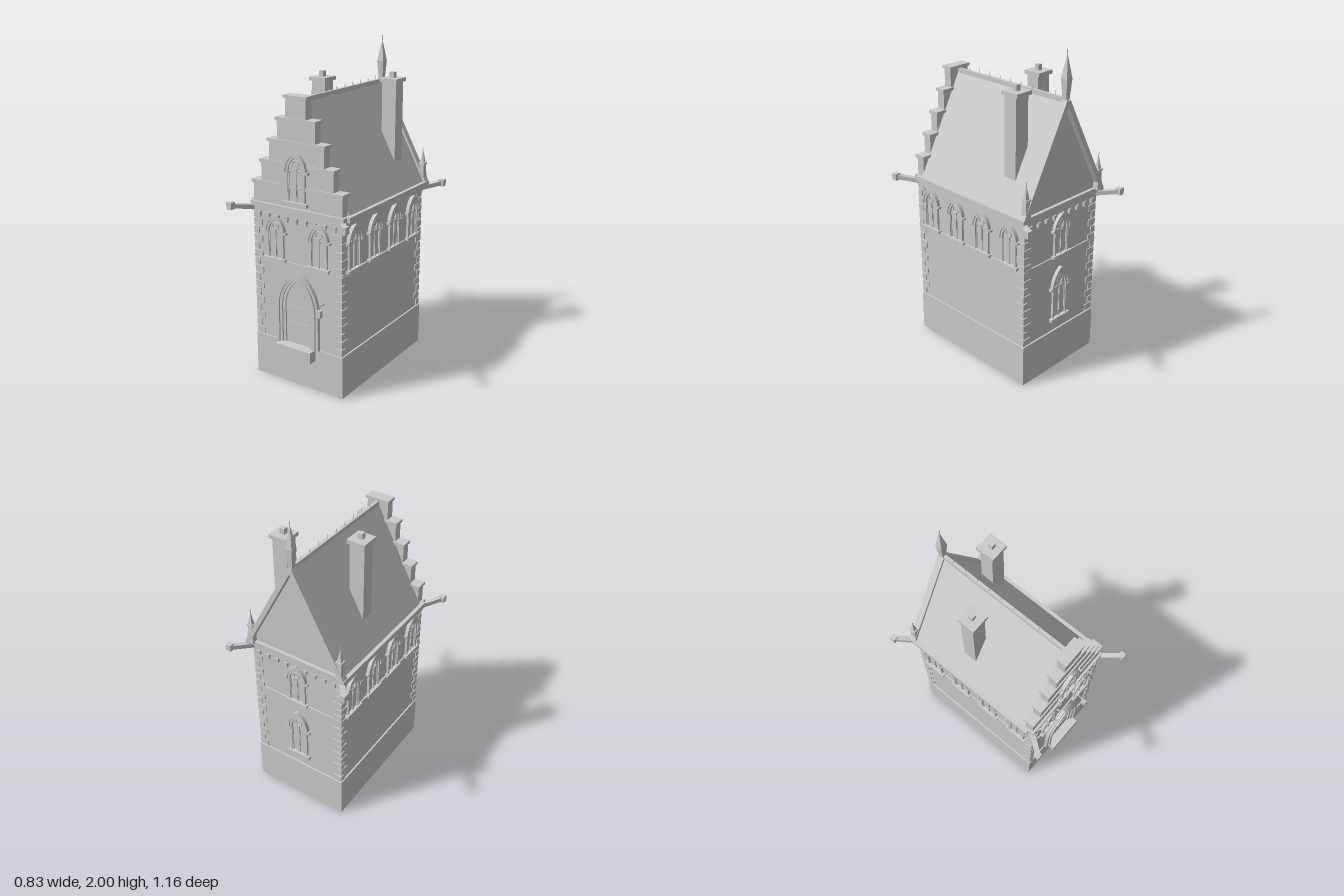
import * as THREE from 'three';

const mat = new THREE.MeshStandardMaterial({ color: 0xcccccc, flatShading: true });
const openMat = new THREE.MeshStandardMaterial({ color: 0xcccccc, flatShading: true, side: THREE.DoubleSide });

function add(parent, name, geo, x = 0, y = 0, z = 0, material = mat) {
  const m = new THREE.Mesh(geo, material);
  m.name = name;
  m.position.set(x, y, z);
  parent.add(m);
  return m;
}

// Box given by its limits on each axis
function block(parent, name, x0, x1, y0, y1, z0, z1) {
  return add(parent, name, new THREE.BoxGeometry(x1 - x0, y1 - y0, z1 - z0),
    (x0 + x1) / 2, (y0 + y1) / 2, (z0 + z1) / 2);
}

// Bar running between two points
function beam(parent, name, a, b, w, h) {
  const p = new THREE.Vector3(...a), q = new THREE.Vector3(...b);
  const m = add(parent, name, new THREE.BoxGeometry(w, h, p.distanceTo(q)), ...p.clone().lerp(q, 0.5));
  m.lookAt(q);
  return m;
}

// Pointed arch outline from the right foot over the apex to the left foot
function archPoints(w, rise, bottom, spring, n = 8) {
  const R = (w * w + rise * rise) / (2 * w), end = Math.atan2(rise, R - w);
  const right = [];
  for (let i = 0; i <= n; i++) {
    const t = end * i / n;
    right.push(new THREE.Vector2(w - R + R * Math.cos(t), spring + R * Math.sin(t)));
  }
  const left = right.slice(0, -1).reverse().map(p => new THREE.Vector2(-p.x, p.y));
  const pts = [...right, ...left];
  if (bottom < spring) {
    pts.unshift(new THREE.Vector2(w, bottom));
    pts.push(new THREE.Vector2(-w, bottom));
  }
  return pts;
}

const extrude = (pts, depth) => new THREE.ExtrudeGeometry(new THREE.Shape(pts), { depth, bevelEnabled: false });

// Arched band, open at the foot
function archBand(wOut, riseOut, wIn, riseIn, bottom, spring, depth) {
  return extrude([...archPoints(wOut, riseOut, bottom, spring),
    ...archPoints(wIn, riseIn, bottom, spring).reverse()], depth);
}

// Two-light window with oculus, hood mould and sill; its foot is at y = 0, facing +z
function makeWindow(name) {
  const g = new THREE.Group();
  g.name = name;
  block(g, 'sill', -0.075, 0.075, 0, 0.018, -0.005, 0.024);
  add(g, 'jambAndArch', archBand(0.06, 0.096, 0.047, 0.08, 0.018, 0.17, 0.014));
  add(g, 'hoodMould', archBand(0.073, 0.112, 0.06, 0.096, 0.17, 0.17, 0.022));
  add(g, 'glass', extrude(archPoints(0.048, 0.081, 0.018, 0.17), 0.002));
  block(g, 'mullion', -0.004, 0.004, 0.018, 0.19, 0, 0.01);
  for (const s of [-1, 1]) {
    block(g, 'hoodStop', s * 0.071 - 0.012, s * 0.071 + 0.012, 0.17, 0.184, 0, 0.022);
    add(g, 'lightHead', archBand(0.023, 0.03, 0.018, 0.024, 0.018, 0.155, 0.008), s * 0.024);
  }
  add(g, 'oculus', new THREE.TorusGeometry(0.021, 0.004, 6, 16), 0, 0.212, 0.006);
  return g;
}

// Square pinnacle with pyramid top and needle
function makePinnacle(name, x, y, z, [h0, h1, h2, h3], r0, r1) {
  const g = new THREE.Group();
  g.name = name;
  g.position.set(x, y, z);
  const q = Math.SQRT2;
  const stage = (part, top, bottom, ya, yb) => add(g, part,
    new THREE.CylinderGeometry(top * q, bottom * q, yb - ya, 4).rotateY(Math.PI / 4), 0, (ya + yb) / 2, 0);
  stage('shaft', r1, r0, h0, h1);
  stage('spire', 0.003, r1, h1, h2);
  stage('needle', 0.002, 0.002, h2 - 0.01, h3);
  return g;
}

export function createModel() {
  const model = new THREE.Group();
  model.name = 'steppedGableHouse';

  // Plinth, open underneath
  const plinth = new THREE.BoxGeometry(0.63, 0.265, 0.915);
  const idx = Array.from(plinth.index.array);
  idx.splice(18, 6);
  plinth.setIndex(idx);
  plinth.clearGroups();
  add(model, 'plinth', plinth, 0, 0.1325, 0, openMat);

  // Walls and horizontal bands
  block(model, 'walls', -0.305, 0.305, 0.265, 1.11, -0.447, 0.45);
  block(model, 'stringCourse', -0.314, 0.314, 0.762, 0.775, -0.455, 0.458);
  block(model, 'corniceLower', -0.32, 0.32, 1.05, 1.08, -0.458, 0.46);
  block(model, 'corniceUpper', -0.325, 0.325, 1.08, 1.11, -0.465, 0.465);
  for (const s of [-1, 1]) {
    block(model, 'gutter', s * 0.331 - 0.015, s * 0.331 + 0.015, 1.08, 1.112, -0.48, 0.43);
  }

  // Corner quoins, alternating long and short
  for (const sx of [-1, 1]) for (const sz of [-1, 1]) {
    for (let i = 0; i < 16; i++) {
      const long = i % 2 === 0, a = long ? 0.06 : 0.035, b = long ? 0.035 : 0.06;
      add(model, 'quoin', new THREE.BoxGeometry(a, 0.042, b),
        sx * (0.311 - a / 2), 0.291 + i * 0.0495, 0.0015 + sz * (0.4545 - b / 2));
    }
  }

  // Corbels under the front and back cornice
  for (let i = 0; i < 9; i++) {
    const x = -0.265 + i * 0.06625;
    for (const z of [0.455, -0.453]) {
      block(model, 'corbel', x - 0.01, x + 0.01, 1.035, 1.052, z - 0.013, z + 0.013);
      block(model, 'corbelFoot', x - 0.006, x + 0.006, 1.018, 1.036, z - 0.009, z + 0.009);
    }
  }

  // Roof, ridge and ridge spikes
  const tri = [[-0.325, 1.108], [0.325, 1.108], [0, 1.722]].map(p => new THREE.Vector2(...p));
  add(model, 'roof', extrude(tri, 0.845), 0, 0, -0.445);
  block(model, 'ridge', -0.01, 0.01, 1.705, 1.732, -0.46, 0.4);
  for (let i = 0; i < 9; i++) {
    add(model, 'ridgeSpike', new THREE.ConeGeometry(0.004, 0.04, 4), 0, 1.746, 0.3 - i * 0.085);
  }

  // Rear gable copings and pinnacles
  for (const s of [-1, 1]) {
    beam(model, 'rearCoping', [0, 1.718, -0.46], [s * 0.332, 1.1, -0.46], 0.04, 0.028);
    model.add(makePinnacle('cornerPinnacle', s * 0.308, 0, -0.46, [1.1, 1.225, 1.295, 1.33], 0.021, 0.014));
    block(model, 'pinnacleCollar', s * 0.308 - 0.02, s * 0.308 + 0.02, 1.218, 1.23, -0.48, -0.44);
  }
  model.add(makePinnacle('ridgeFinial', 0, 0, -0.458, [1.7, 1.84, 1.96, 2], 0.012, 0.022));

  // Stepped front gable with capstones
  for (let i = 0; i < 5; i++) {
    const w = 0.31 - i * 0.06, top = 1.24 + i * 0.1275;
    block(model, 'gableStep', -w, w, i ? top - 0.1275 : 1.11, top - 0.015, 0.396, 0.45);
    block(model, 'gableCapstone', -w - 0.008, w + 0.008, top - 0.018, top, 0.386, 0.458);
  }

  // Chimneys
  for (const [x, z] of [[-0.19, -0.08], [0.19, -0.27]]) {
    block(model, 'chimney', x - 0.0475, x + 0.0475, 1.2, 1.757, z - 0.0425, z + 0.0425);
    block(model, 'chimneyCap', x - 0.058, x + 0.058, 1.752, 1.775, z - 0.058, z + 0.058);
    block(model, 'chimneyPot', x - 0.015, x + 0.015, 1.77, 1.81, z - 0.015, z + 0.015);
  }

  // Corner water spouts
  for (const sx of [-1, 1]) for (const sz of [-1, 1]) {
    beam(model, 'spoutArm', [sx * 0.305, 1.068, sz * 0.44], [sx * 0.395, 1.088, sz * 0.56], 0.03, 0.026);
    add(model, 'spoutHead', new THREE.BoxGeometry(0.036, 0.042, 0.036), sx * 0.397, 1.088, sz * 0.56);
  }

  // Windows: x, y, z, turn, width scale, height scale
  const windows = [
    [-0.153, 0.768, 0.45, 0, 1, 1], [0.153, 0.768, 0.45, 0, 1, 1], [0, 1.13, 0.45, 0, 1.1, 1.11],
    [0, 0.768, -0.447, Math.PI, 1, 1], [0, 0.335, -0.447, Math.PI, 1.05, 1.28],
  ];
  for (let i = 0; i < 4; i++) for (const s of [-1, 1]) {
    windows.push([s * 0.305, 0.768, 0.333 - i * 0.222, s * Math.PI / 2, 1, 1]);
  }
  for (const [x, y, z, turn, sx, sy] of windows) {
    const w = makeWindow('window');
    w.position.set(x, y, z);
    w.rotation.y = turn;
    w.scale.set(sx, sy, 1);
    model.add(w);
  }

  // Portal with receding orders, door leaf and doorstep
  const widths = [0.153, 0.137, 0.121, 0.104, 0.086], tops = [0.74, 0.72, 0.703, 0.686, 0.668];
  const depths = [0.024, 0.034, 0.024, 0.014];
  for (let i = 0; i < 4; i++) {
    add(model, 'portalOrder', archBand(widths[i], tops[i] - 0.5, widths[i + 1], tops[i + 1] - 0.5,
      0.265, 0.5, depths[i]), 0, 0, 0.449);
  }
  add(model, 'doorLeaf', extrude(archPoints(0.087, 0.169, 0.265, 0.5), 0.004), 0, 0, 0.449);
  for (const y of [0.4, 0.5]) block(model, 'doorStrap', -0.08, 0.08, y - 0.004, y + 0.004, 0.45, 0.457);
  block(model, 'doorstep', -0.125, 0.125, 0.195, 0.265, 0.44, 0.515);

  // Wall lantern
  block(model, 'lanternBracket', 0.182, 0.188, 0.568, 0.575, 0.448, 0.505);
  block(model, 'lanternHanger', 0.183, 0.187, 0.54, 0.572, 0.498, 0.502);
  block(model, 'lantern', 0.172, 0.198, 0.505, 0.548, 0.487, 0.513);

  return model;
}
